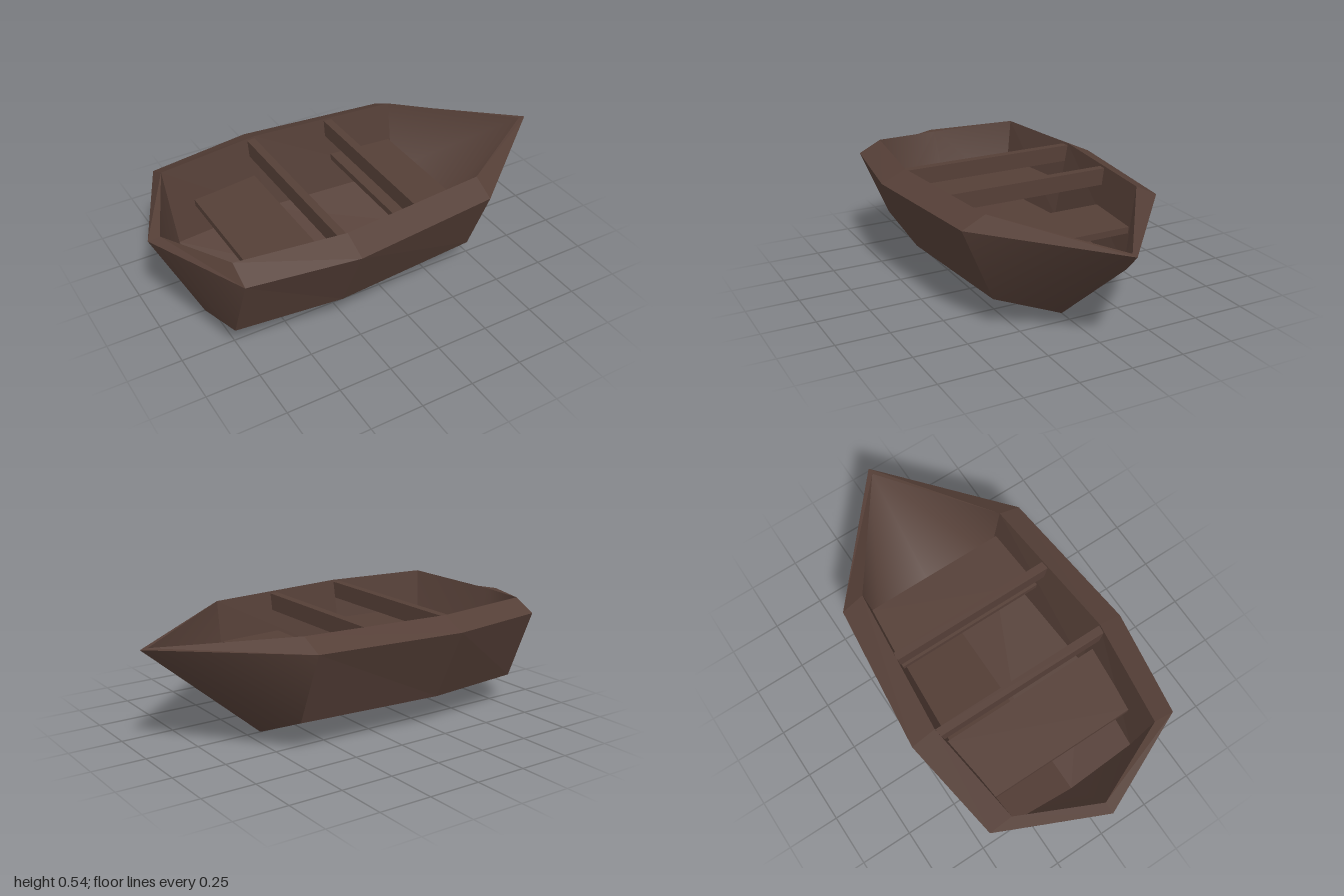
import * as THREE from 'three';
import { mergeVertices } from 'three/addons/utils/BufferGeometryUtils.js';

const wood = new THREE.MeshStandardMaterial({ color: 0x553f37 });
wood.name = 'darkWood';
const flatWood = wood;

const SHEER_Y = 0.485, RIM_Y = 0.54;

// Half sections: sheer, chine and keel outside; rim, chine and keel inside
const frames = [
  { x: -0.78, xIn: -0.75, sheer: 0.485, chine: 0.343, rim: 0.375, chineIn: 0.325 },
  { x: -0.28, xIn: -0.28, sheer: 0.56, chine: 0.397, rim: 0.44, chineIn: 0.37 },
  { x: 0.43, xIn: 0.43, sheer: 0.485, chine: 0.343, rim: 0.375, chineIn: 0.325 },
];
const sternTip = { out: [-1, SHEER_Y, 0], in: [-0.945, 0.49, 0] };
const bowTip = { out: [1, SHEER_Y, 0], in: [0.965, 0.488, 0] };

const outside = f => [
  [f.x, SHEER_Y, f.sheer], [f.x, 0.145, f.chine], [f.x, 0, 0],
  [f.x, 0.145, -f.chine], [f.x, SHEER_Y, -f.sheer],
];
const inside = f => [
  [f.x, RIM_Y, -f.rim], [f.xIn, 0.165, -f.chineIn], [f.xIn, 0.035, 0],
  [f.xIn, 0.165, f.chineIn], [f.x, RIM_Y, f.rim],
];
const rimLeft = f => [[f.x, RIM_Y, f.rim], [f.x, SHEER_Y, f.sheer]];
const rimRight = f => [[f.x, SHEER_Y, -f.sheer], [f.x, RIM_Y, -f.rim]];

// Skin between successive rows of points, running from stern to bow
function skin(name, rows, smooth) {
  const pos = [];
  const same = (p, q) => p.every((v, k) => Math.abs(v - q[k]) < 1e-6);
  const tri = (a, b, c) => {
    if (!same(a, b) && !same(b, c) && !same(a, c)) pos.push(...a, ...b, ...c);
  };
  for (let i = 0; i < rows.length - 1; i++) {
    for (let j = 0; j < rows[i].length - 1; j++) {
      const a = rows[i][j], b = rows[i][j + 1], c = rows[i + 1][j + 1], d = rows[i + 1][j];
      tri(a, b, c);
      tri(a, c, d);
    }
  }
  let geo = new THREE.BufferGeometry();
  geo.setAttribute('position', new THREE.Float32BufferAttribute(pos, 3));
  if (smooth) geo = mergeVertices(geo);
  geo.computeVertexNormals();
  const mesh = new THREE.Mesh(geo, flatWood);
  mesh.name = name;
  return mesh;
}

// Half width of the inner wall at a given x and height
function wallHalf(x, y) {
  const [a, b] = x < frames[1].x ? [frames[0], frames[1]] : [frames[1], frames[2]];
  const t = (x - a.x) / (b.x - a.x), h = (y - 0.165) / (RIM_Y - 0.165);
  const at = f => f.chineIn + (f.rim - f.chineIn) * h;
  return at(a) + (at(b) - at(a)) * t;
}

// Flat board fitted between the walls
function board(name, x0, x1, top, thick) {
  const w0 = wallHalf(x0, top) + 0.01, w1 = wallHalf(x1, top) + 0.01;
  const shape = new THREE.Shape([
    new THREE.Vector2(x0, -w0), new THREE.Vector2(x1, -w1),
    new THREE.Vector2(x1, w1), new THREE.Vector2(x0, w0),
  ]);
  const geo = new THREE.ExtrudeGeometry(shape, { depth: thick, bevelEnabled: false });
  geo.rotateX(-Math.PI / 2);
  geo.translate(0, top - thick, 0);
  const mesh = new THREE.Mesh(geo, wood);
  mesh.name = name;
  return mesh;
}

export function createModel() {
  const boat = new THREE.Group();
  boat.name = 'rowingBoat';
  const [stern, , bow] = frames;
  const five = p => Array(5).fill(p);

  // Outer hull: faceted sides, softly shaded ends
  boat.add(skin('hullSides', frames.map(outside), false));
  boat.add(skin('hullBow', [outside(bow), five(bowTip.out)], true));
  boat.add(skin('hullStern', [five(sternTip.out), outside(stern)], true));

  // Inner lining
  boat.add(skin('liningSides', frames.map(inside), false));
  boat.add(skin('liningBow', [inside(bow), five(bowTip.in)], true));
  boat.add(skin('liningStern', [five(sternTip.in), inside(stern)], true));

  // Sloping gunwales on both sides
  boat.add(skin('leftGunwale', [
    [sternTip.in, sternTip.out], ...frames.map(rimLeft), [bowTip.in, bowTip.out]], false));
  boat.add(skin('rightGunwale', [
    [sternTip.out, sternTip.in], ...frames.map(rimRight), [bowTip.out, bowTip.in]], false));

  // Cross beams and low seats
  boat.add(board('rearBeam', -0.32, -0.28, 0.53, 0.08));
  boat.add(board('frontBeam', 0.08, 0.12, 0.53, 0.08));
  boat.add(board('rearSeat', -0.64, -0.31, 0.347, 0.03));
  boat.add(board('frontSeat', 0.1, 0.42, 0.347, 0.03));
  return boat;
}
